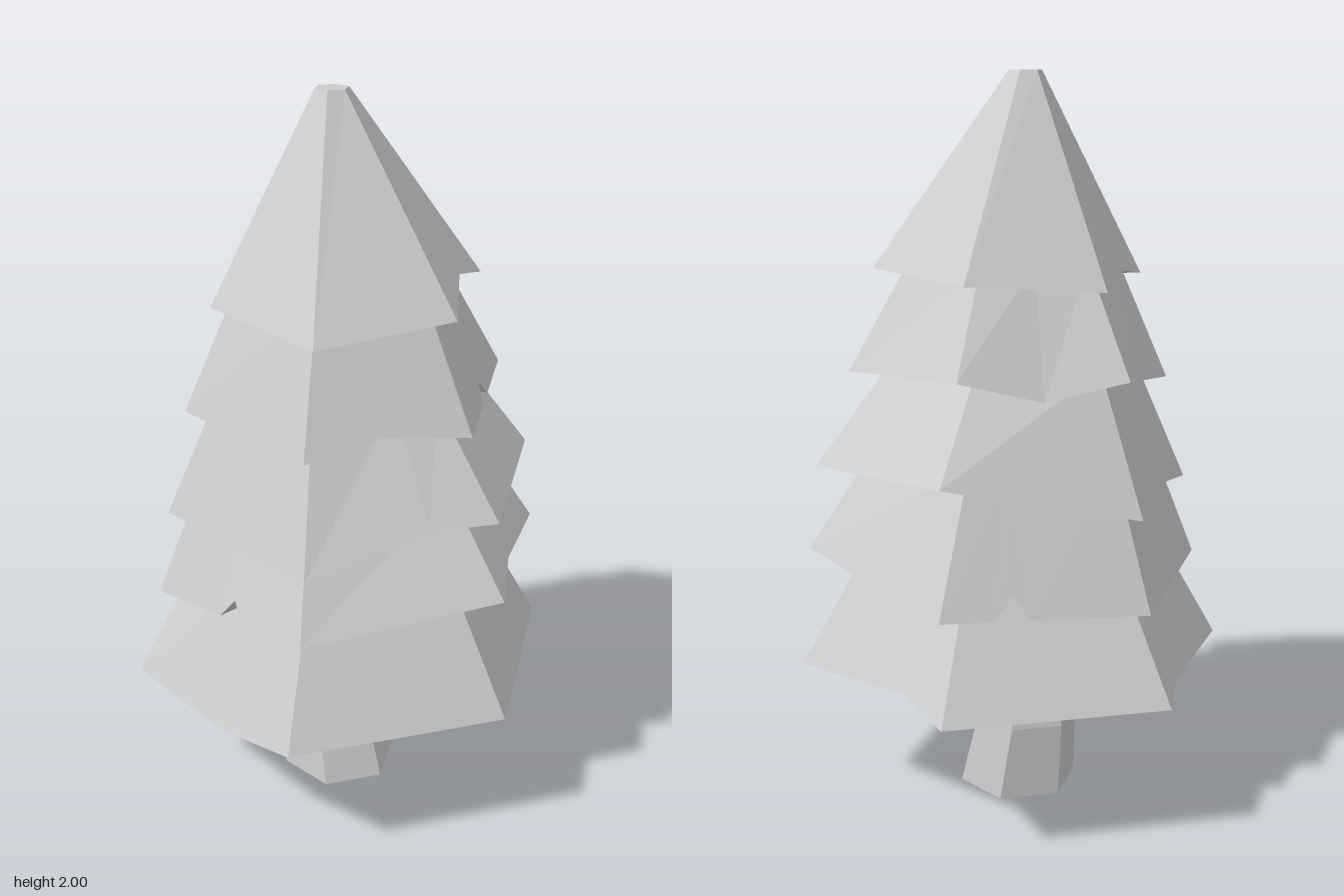
import * as THREE from 'three';

const material = new THREE.MeshStandardMaterial({ color: 0xcccccc, flatShading: true });

// Skin a stack of equal-length closed rings, facing out when they run bottom to top
function loft(name, rings) {
  const pos = [];
  const tri = (a, b, c) => {
    if (a.equals(b) || b.equals(c) || c.equals(a)) return;
    for (const p of [a, b, c]) pos.push(p.x, p.y, p.z);
  };
  for (let r = 0; r < rings.length - 1; r++) {
    const lo = rings[r], hi = rings[r + 1];
    for (let i = 0; i < lo.length; i++) {
      const j = (i + 1) % lo.length;
      tri(lo[i], lo[j], hi[j]);
      tri(lo[i], hi[j], hi[i]);
    }
  }
  const geo = new THREE.BufferGeometry();
  geo.setAttribute('position', new THREE.Float32BufferAttribute(pos, 3));
  geo.computeVertexNormals();
  const mesh = new THREE.Mesh(geo, material);
  mesh.name = name;
  return mesh;
}

// Hexagon with its first corner at +z, going round towards +x
const hexagon = (cx, y, cz, r) => Array.from({ length: 6 }, (_, i) =>
  new THREE.Vector3(cx + r * Math.sin(i * Math.PI / 3), y, cz + r * Math.cos(i * Math.PI / 3)));

const centre = ring => ring.reduce((m, p) => m.add(p), new THREE.Vector3()).divideScalar(ring.length);
const collapse = (ring, point) => ring.map(() => point.clone());

// Hollow-bottomed skirt of branches with an uneven hem
function tier({ x = 0, z = 0, r, hem, bends, notches = [], crown }) {
  const base = hexagon(x, 0, z, r);
  base.forEach((p, i) => p.setY(hem[i]));
  const upper = hexagon(...crown);
  // a notch is a raised point between two points on the straight hem
  const marks = [...bends, ...notches.flatMap(([e, t, rise]) =>
    [[e, t - 0.08, 0], [e, t, rise], [e, t + 0.08, 0]])];
  const rim = [], top = [];
  for (let e = 0; e < 6; e++) {
    const f = (e + 1) % 6;
    for (const [, t, rise] of [[e, 0, 0], ...marks.filter(m => m[0] === e)]) {
      const p = base[e].clone().lerp(base[f], t);
      const q = upper[e].clone().lerp(upper[f], t);
      // raised points slide inwards up the slope
      const y = p.y + rise;
      rim.push(p.lerp(q, Math.max(0, rise / (q.y - p.y))).setY(y));
      top.push(q);
    }
  }
  const mid = centre(base);
  const inset = (k, dy) => rim.map(p => new THREE.Vector3(
    mid.x + (p.x - mid.x) * k, p.y + dy, mid.z + (p.z - mid.z) * k));
  const roof = mid.clone().setY(mid.y + 0.06);
  return loft('branchTier', [
    collapse(rim, roof), inset(0.8, 0.06), inset(0.84, 0), rim, top, collapse(rim, centre(upper)),
  ]);
}

// Hem heights run round from the front corner; bends and notches are [edge, position, rise]
function createTiers() {
  return [
    tier({
      r: 0.6, hem: Array(6).fill(0.4), crown: [0, 0.8, 0, 0.37],
      bends: [[1, 0.72, 0.04], [3, 0.2, 0.03], [4, 0.58, -0.04]],
    }),
    tier({
      x: 0.01, z: 0.02, r: 0.55, hem: [0.745, 0.73, 0.66, 0.64, 0.65, 0.7], crown: [0, 1.02, 0, 0.38],
      bends: [[0, 0.36, 0.03]], notches: [[2, 0.34, 0.06], [4, 0.53, 0.05]],
    }),
    tier({
      x: 0.025, z: 0.01, r: 0.52, hem: [0.955, 0.965, 1, 0.89, 0.88, 0.86], crown: [0, 1.25, 0, 0.33],
      bends: [[3, 0.5, 0.035], [5, 0.66, 0.03]],
    }),
    tier({
      x: 0.01, r: 0.443, hem: [1.175, 1.22, 1.25, 1.235, 1.17, 1.155], crown: [0, 1.52, 0, 0.28],
      bends: [[2, 0.5, -0.05], [5, 0.47, 0.035]], notches: [[0, 0.48, 0.045]],
    }),
    tier({
      z: 0.02, r: 0.37, hem: [1.475, 1.49, 1.475, 1.45, 1.46, 1.435], crown: [-0.04, 2, 0, 0.045],
      bends: [[0, 0.55, 0.05], [3, 0.6, 0.025]],
    }),
  ];
}

// Slightly bent trunk
function createTrunk() {
  const foot = hexagon(-0.015, 0, 0, 0.167);
  const knee = hexagon(-0.015, 0.21, -0.038, 0.143);
  const head = hexagon(-0.015, 0.5, -0.02, 0.115);
  return loft('trunk', [collapse(foot, centre(foot)), foot, knee, head, collapse(head, centre(head))]);
}

export function createModel() {
  const tree = new THREE.Group();
  tree.name = 'tree';
  tree.add(createTrunk(), ...createTiers());
  return tree;
}
